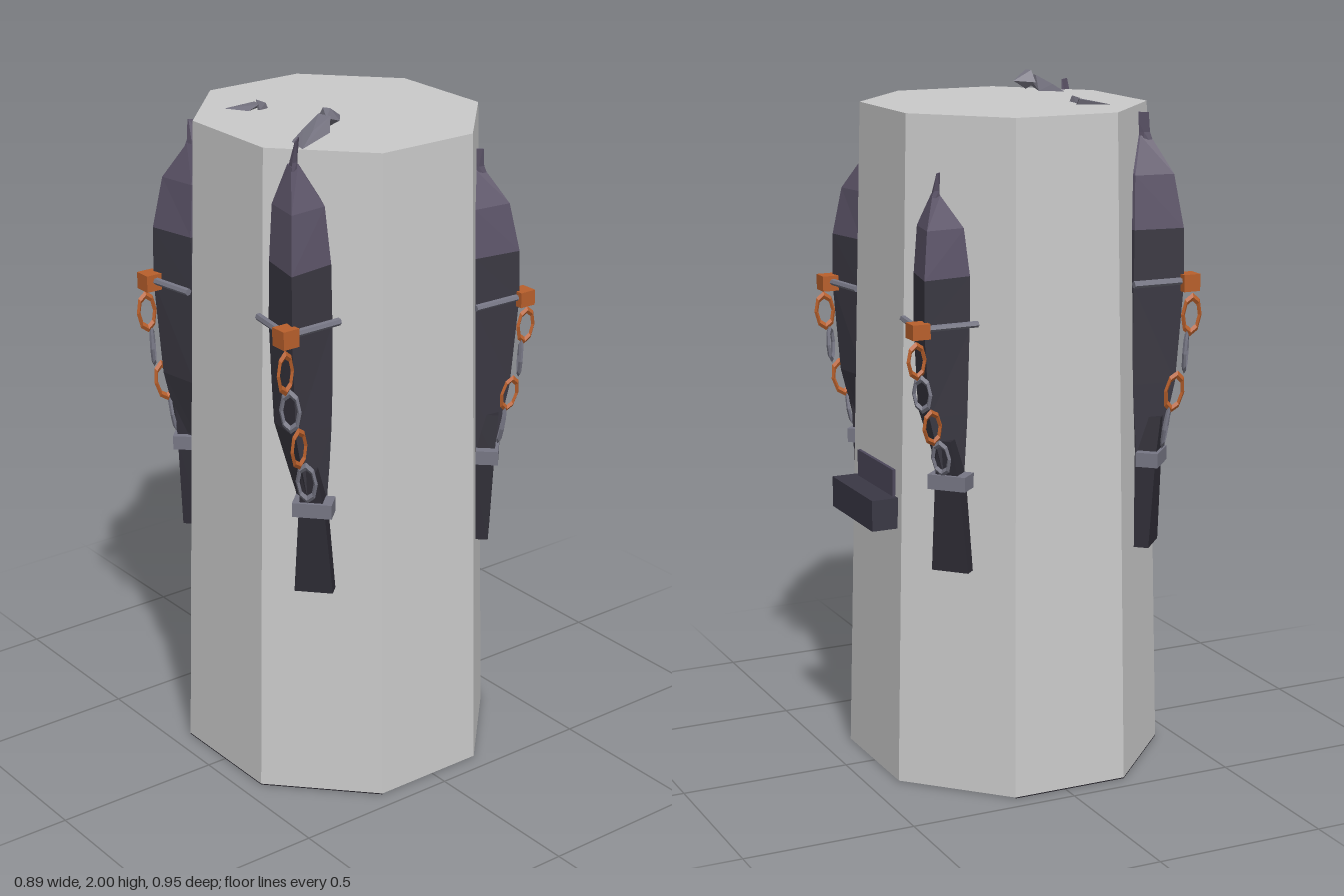
import * as THREE from 'three';
import { ConvexGeometry } from 'three/addons/geometries/ConvexGeometry.js';

const mat = (name, color, side = THREE.FrontSide) => {
  const m = new THREE.MeshStandardMaterial({ color, side, flatShading: true });
  m.name = name;
  return m;
};
const stone = mat('pale stone', 0xcacaca);
const underside = mat('dark underside', 0x26242b, THREE.DoubleSide);
const hornTip = mat('purple horn', 0x5c5468, THREE.DoubleSide);
const horn = mat('dark horn', 0x3b3943, THREE.DoubleSide);
const foot = mat('darkest horn', 0x2e2c35, THREE.DoubleSide);
const iron = mat('grey iron', 0x777785, THREE.DoubleSide);
const copper = mat('rusty copper', 0xb9602c, THREE.DoubleSide);
const slate = mat('slate', 0x3a3845);
const slatePlate = mat('light slate', 0x4d485b);
const rubble = mat('rubble', 0x74727f);

function add(parent, name, geometry, material, x = 0, y = 0, z = 0) {
  const mesh = new THREE.Mesh(geometry, material);
  mesh.name = name;
  mesh.position.set(x, y, z);
  parent.add(mesh);
  return mesh;
}

// Closed solid through rings of [x, z] points, given from bottom to top
function loft(rings) {
  const pos = [];
  const tri = (...pts) => pts.forEach((p) => pos.push(...p));
  const pts = rings.map(({ y, ring }) => ring.map(([x, z]) => [x, y, z]));
  const n = pts[0].length, top = pts[pts.length - 1], bottom = pts[0];
  for (let i = 0; i < pts.length - 1; i++) {
    for (let j = 0; j < n; j++) {
      const k = (j + 1) % n;
      const [a, b, c, d] = [pts[i][j], pts[i][k], pts[i + 1][k], pts[i + 1][j]];
      tri(a, b, c);
      tri(a, c, d);
    }
  }
  for (let j = 1; j < n - 1; j++) {
    tri(top[0], top[j], top[j + 1]);
    tri(bottom[0], bottom[j + 1], bottom[j]);
  }
  const g = new THREE.BufferGeometry();
  g.setAttribute('position', new THREE.Float32BufferAttribute(pos, 3));
  g.computeVertexNormals();
  return g;
}

// Stretched octagon: half width, half depth, half lengths of the flat sides
function octagon(w, d, fx, fz, zc = 0.015) {
  const q = [[w, fz], [w, -fz], [fx, -d], [-fx, -d], [-w, -fz], [-w, fz], [-fx, d], [fx, d]];
  return q.map(([x, z]) => [x, z + zc]);
}

// Ridged horn section: centre t, half width w, back n, ridge r
const ridged = ([y, t, w, n, r]) => ({
  y, ring: [[t, r], [t + w, n], [t + w * 0.7, n - 0.04], [t - w * 0.7, n - 0.04], [t - w, n]],
});
const slab = (y, t, w, n0, n1) => ({ y, ring: [[t + w, n1], [t + w, n0], [t - w, n0], [t - w, n1]] });

function rod(parent, name, a, b, r, material) {
  const A = new THREE.Vector3(...a), B = new THREE.Vector3(...b);
  const dir = B.clone().sub(A);
  const m = add(parent, name, new THREE.CylinderGeometry(r, r, dir.length(), 6), material);
  m.position.copy(A).add(B).multiplyScalar(0.5);
  m.quaternion.setFromUnitVectors(new THREE.Vector3(0, 1, 0), dir.normalize());
}

const TURN = 0.75;

// One chained horn, built with +z pointing out of the wall
function chainedHorn(stretch) {
  const g = new THREE.Group();
  g.rotation.y = TURN;
  const upper = new THREE.Group();
  upper.name = 'upperHorn';
  upper.scale.y = stretch;
  upper.position.y = 0.92 * (1 - stretch);
  g.add(upper);

  const shoulder = [1.62, -0.03, 0.085, 0.40, 0.522];
  add(upper, 'hornBody', loft([
    [0.78, 0.01, 0.035, 0.42, 0.45],
    [0.95, 0.0, 0.045, 0.41, 0.47],
    [1.15, -0.025, 0.083, 0.40, 0.505],
    [1.45, -0.03, 0.088, 0.40, 0.525],
    shoulder,
  ].map(ridged)), horn);
  add(upper, 'hornTip', loft([
    shoulder,
    [1.78, -0.035, 0.072, 0.395, 0.49],
    [1.89, -0.05, 0.015, 0.39, 0.415],
  ].map(ridged)), hornTip);
  add(upper, 'hornSpike', loft([
    [1.84, -0.05, 0.014, 0.40, 0.435],
    [1.90, -0.047, 0.01, 0.40, 0.415],
    [1.96, -0.038, 0.002, 0.41, 0.413],
  ].map(ridged)), hornTip);

  // strap and clasp
  const clasp = add(upper, 'clasp', new THREE.BoxGeometry(0.052, 0.052, 0.052), copper, -0.045, 1.455, 0.533);
  clasp.rotation.y = -TURN;
  for (const t of [-0.145, 0.078]) {
    rod(upper, 'strap', [-0.04, 1.46, 0.537], [t, 1.46, 0.405], 0.011, iron);
  }

  // chain links, alternately turned
  [[1.355, -0.045, 0.545, copper], [1.24, -0.035, 0.532, iron],
    [1.12, -0.017, 0.505, copper], [1.01, 0.0, 0.485, iron]].forEach(([y, t, n, m], i) => {
    const link = add(upper, 'chainLink', new THREE.TorusGeometry(0.026, 0.006, 4, 8), m, t, y, n);
    link.scale.y = 2.1;
    link.rotation.set(i > 1 ? 0.15 : 0.05, i % 2 ? -0.1 : 0.95, 0);
  });

  // foot and its bracelet
  add(g, 'hornFoot', loft([
    slab(0.66, 0.013, 0.055, 0.40, 0.456),
    slab(0.92, 0.01, 0.036, 0.40, 0.468),
    slab(1.04, 0.004, 0.02, 0.40, 0.476),
  ]), foot);
  add(g, 'bracelet', new THREE.BoxGeometry(0.112, 0.042, 0.065), iron, 0.013, 0.922, 0.447);
  return g;
}

export function createModel() {
  const model = new THREE.Group();
  model.name = 'chainedPillar';

  // pillar and the dark part of its base
  add(model, 'pillar', loft([
    { y: 0.003, ring: octagon(0.445, 0.425, 0.185, 0.175) },
    { y: 1.93, ring: octagon(0.40, 0.375, 0.165, 0.155) },
  ]), stone);
  const base = octagon(0.445, 0.425, 0.185, 0.175);
  add(model, 'baseShadowPlate', loft([0, 0.0025].map((y) => ({
    y, ring: [base[0], base[4], base[5], base[6], base[7]],
  }))), underside);

  // four horns, mirrored over both axes, each of its own height
  for (const [name, sx, sz, k] of [['frontLeftHorn', 1, 1, 1], ['frontRightHorn', -1, 1, 0.95],
    ['backLeftHorn', 1, -1, 0.868], ['backRightHorn', -1, -1, 0.82]]) {
    const corner = new THREE.Group();
    corner.name = name;
    corner.position.z = 0.02;
    corner.scale.set(sx, 1, sz);
    corner.add(chainedHorn(k));
    model.add(corner);
  }

  // shelf on the back
  add(model, 'shelf', new THREE.BoxGeometry(0.30, 0.09, 0.08), slate, 0, 0.797, -0.428);
  add(model, 'shelfPlate', new THREE.BoxGeometry(0.26, 0.10, 0.01), slatePlate, 0, 0.87, -0.391);

  // broken pieces lying on top
  const piece = (name, points) =>
    add(model, name, new ConvexGeometry(points.map((p) => new THREE.Vector3(...p))), rubble);
  piece('largeFragment', [[0.165, 1.93, 0.295], [0.24, 1.93, 0.315], [0.125, 1.94, 0.19], [0.215, 1.95, 0.205],
    [0.145, 1.985, 0.19], [0.185, 1.985, 0.18], [0.20, 1.96, 0.25], [0.155, 1.955, 0.25]]);
  piece('largeFragmentHead', [[0.15, 1.97, 0.12], [0.18, 1.965, 0.145], [0.125, 1.965, 0.18], [0.18, 1.98, 0.19],
    [0.145, 2.0, 0.175], [0.165, 2.0, 0.165], [0.15, 1.945, 0.16]]);
  piece('smallFragment', [[-0.215, 1.93, 0.25], [-0.18, 1.945, 0.17], [-0.145, 1.945, 0.18],
    [-0.145, 1.932, 0.215], [-0.175, 1.93, 0.215], [-0.17, 1.93, 0.16]]);
  piece('smallFragmentKnob', [[-0.185, 1.935, 0.155], [-0.13, 1.935, 0.16], [-0.125, 1.935, 0.19],
    [-0.18, 1.95, 0.165], [-0.13, 1.952, 0.168], [-0.145, 1.93, 0.185]]);
  return model;
}
